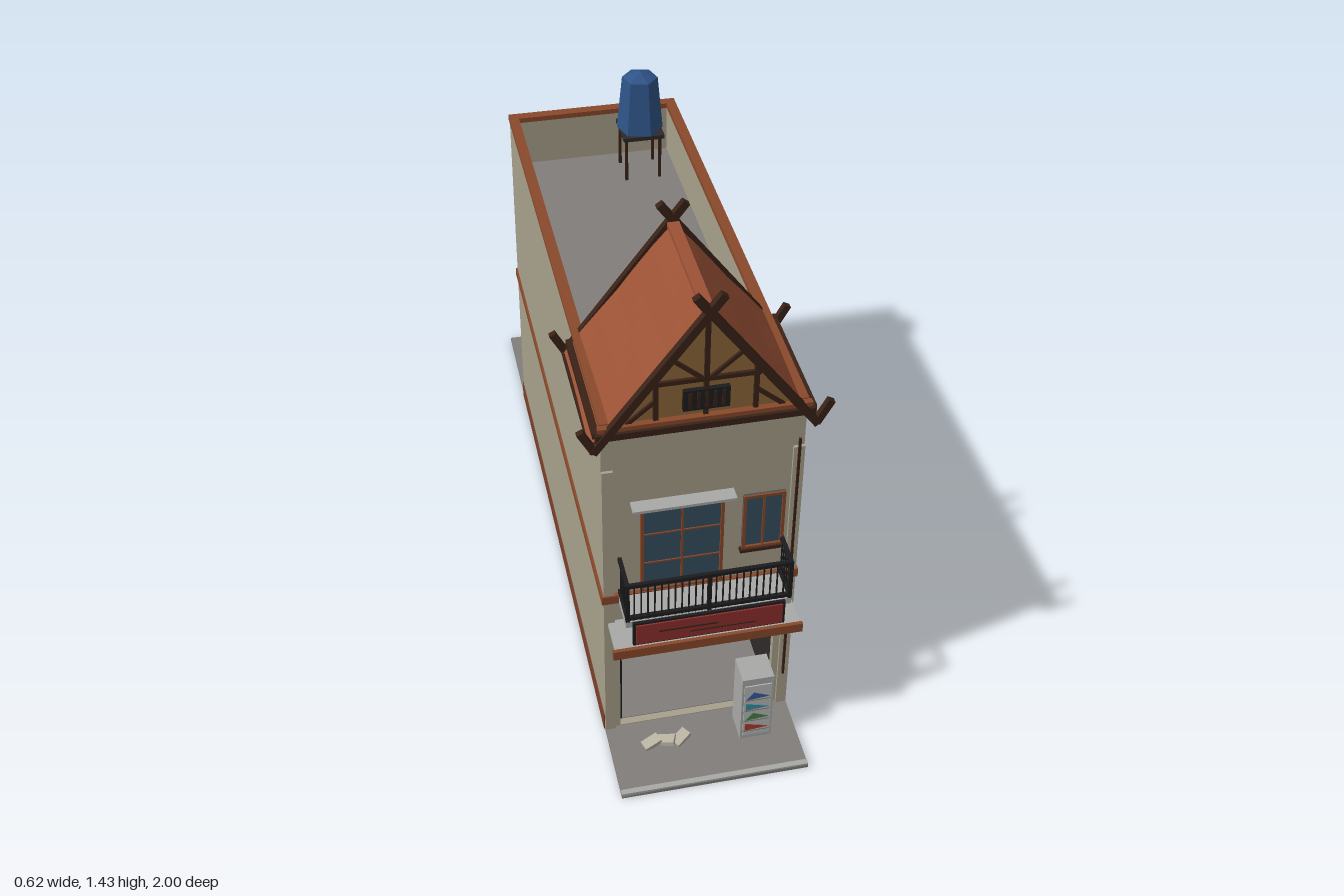
import * as THREE from 'three';

const mats = {};
const mat = (color) => (mats[color] ??= new THREE.MeshStandardMaterial({ color, flatShading: true, side: THREE.DoubleSide }));
const C = { wall: 0xa8a08c, trim: 0x8a4a2c, skirt: 0x7a3f2a, tile: 0x9c5236, wood: 0x3a2218, ochre: 0x8f663a,
  black: 0x1c1c1e, dark: 0x2e2a29, glass: 0x35505f, grey: 0x827e7a, light: 0xa9aaa8, red: 0x8e2f2c, blue: 0x2f5488 };

export function createModel() {
  const root = new THREE.Group();
  let parent = root;

  const group = (name) => {
    parent = new THREE.Group();
    parent.name = name;
    root.add(parent);
  };
  const add = (name, geo, color) => {
    const m = new THREE.Mesh(geo, mat(color));
    m.name = name;
    parent.add(m);
    return m;
  };
  // box from its min and max corners
  const box = (name, color, x0, x1, y0, y1, z0, z1) => {
    const m = add(name, new THREE.BoxGeometry(x1 - x0, y1 - y0, z1 - z0), color);
    m.position.set((x0 + x1) / 2, (y0 + y1) / 2, (z0 + z1) / 2);
    return m;
  };
  // square beam between two points
  const beam = (name, color, a, b, w, d = w) => {
    const p = new THREE.Vector3(...a), q = new THREE.Vector3(...b);
    const m = add(name, new THREE.BoxGeometry(w, d, p.distanceTo(q)), color);
    m.position.copy(p).lerp(q, 0.5);
    m.lookAt(q);
    return m;
  };
  const extrude = (name, color, points, depth, z, holes = []) => {
    const s = new THREE.Shape(points.map((p) => new THREE.Vector2(...p)));
    holes.forEach((h) => s.holes.push(new THREE.Path(h.map((p) => new THREE.Vector2(...p)))));
    const m = add(name, new THREE.ExtrudeGeometry(s, { depth, bevelEnabled: false }), color);
    m.position.z = z;
    return m;
  };
  const rect = (x0, x1, y0, y1) => [[x0, y0], [x1, y0], [x1, y1], [x0, y1]];
  // framed window on a z-facing wall; s is the facing direction
  const windowUnit = (name, x0, x1, y0, y1, z, s, cols, rows, frame) => {
    const t = 0.008, zs = (a, b) => [Math.min(z + s * a, z + s * b), Math.max(z + s * a, z + s * b)];
    box(name + 'Glass', C.glass, x0, x1, y0, y1, ...zs(0, 0.004));
    extrude(name + 'Frame', frame, rect(x0, x1, y0, y1), 0.01, zs(0, 0.01)[0], [rect(x0 + t, x1 - t, y0 + t, y1 - t)]);
    for (let i = 1; i < cols; i++) {
      const x = x0 + ((x1 - x0) * i) / cols;
      box(name + 'Mullion', frame, x - 0.003, x + 0.003, y0, y1, ...zs(0, 0.008));
    }
    for (let i = 1; i < rows; i++) {
      const y = y0 + ((y1 - y0) * i) / rows;
      box(name + 'Bar', frame, x0, x1, y - 0.002, y + 0.002, ...zs(0, 0.007));
    }
  };

  group('ground');
  box('pavement', C.grey, -0.25, 0.25, 0, 0.01, -1, 1);
  box('frontKerb', C.light, -0.25, 0.25, 0, 0.016, 0.985, 1);

  group('building');
  for (const s of [-1, 1]) {
    box('sideWall', C.wall, ...(s < 0 ? [-0.25, -0.225] : [0.225, 0.25]), 0.01, 1.062, -0.69, 0.77);
    box('sideSkirting', C.skirt, s * 0.2505 - 0.002, s * 0.2505 + 0.002, 0, 0.055, -0.692, 0.765);
    box('sideBand', C.trim, s * 0.251 - 0.004, s * 0.251 + 0.004, 0.492, 0.518, -0.695, 0.775);
    box('sideCoping', C.trim, s * 0.239 - 0.014, s * 0.239 + 0.014, 1.06, 1.075, -0.695, 0.77);
    box('pilaster', C.wall, s * 0.236 - 0.014, s * 0.236 + 0.014, 0.01, 0.93, 0.77, 0.778);
  }
  box('backWall', C.wall, -0.225, 0.225, 0.01, 1.062, -0.69, -0.665);
  box('backSkirting', C.skirt, -0.25, 0.25, 0, 0.055, -0.693, -0.688);
  box('backBand', C.trim, -0.25, 0.25, 0.492, 0.518, -0.695, -0.687);
  box('backCoping', C.trim, -0.25, 0.25, 1.06, 1.075, -0.695, -0.665);
  box('roofDeck', C.grey, -0.225, 0.225, 0.9, 0.92, -0.665, 0.75);
  extrude('frontWall', C.wall, rect(-0.225, 0.225, 0.01, 1.062), 0.02, 0.75, [rect(-0.208, 0.205, 0.012, 0.39)]);
  box('frontBand', C.trim, -0.255, 0.255, 0.492, 0.518, 0.768, 0.782);
  windowUnit('backWindow', -0.082, 0.082, 0.625, 0.77, -0.69, -1, 3, 2, C.black);
  box('backSill', C.wood, -0.09, 0.09, 0.61, 0.623, -0.708, -0.69);
  box('drainPipe', C.wood, 0.232, 0.238, 0.13, 0.96, 0.778, 0.784);

  group('shop');
  box('interiorBack', C.dark, -0.225, 0.225, 0.01, 0.4, 0.44, 0.45);
  box('interiorCeiling', C.dark, -0.225, 0.225, 0.39, 0.4, 0.45, 0.75);
  box('interiorFloor', C.grey, -0.225, 0.225, 0.01, 0.014, 0.45, 0.75);
  box('interiorSkirting', C.skirt, -0.21, 0.21, 0.012, 0.06, 0.45, 0.46);
  for (const s of [-1, 1]) box('interiorSide', C.dark, s * 0.215 - 0.005, s * 0.215 + 0.005, 0.01, 0.39, 0.45, 0.75);
  box('lightTube', C.black, -0.2, 0.06, 0.348, 0.354, 0.6, 0.61);
  // folded sliding gate along the inner left wall
  for (let i = 0; i < 13; i++) box('gateBar', C.black, -0.207, -0.2, 0.015, 0.385, 0.47 + i * 0.023, 0.476 + i * 0.023);
  // shelves and goods
  const tints = { b: 0x3b5c9a, y: 0xc9a13a, g: 0x4a8048, r: 0xa83a2e, w: 0xd2cfc6, o: 0xc8742c };
  const rows = [
    [0.285, 'b-.165 y-.08 g-.045 r0 w.08 b.12 o.16'],
    [0.2, 'b-.165 y-.125 w-.04 w0 b.04 o.08 y.14'],
    [0.12, 'r-.165 w-.12 w-.085 o0 o.04 g.08 r.13'],
  ];
  for (const [y, goods] of rows) {
    box('shelf', C.trim, -0.18, 0.18, y - 0.005, y, 0.45, 0.52);
    for (const item of goods.split(' ')) {
      const pack = add('goods', new THREE.CylinderGeometry(0.01, 0.014, 0.034, 6), tints[item[0]]);
      pack.position.set(+item.slice(1), y + 0.018, 0.495);
    }
  }
  // drinks fridge
  group('fridge');
  box('fridgeBody', C.light, 0.095, 0.18, 0.01, 0.238, 0.8, 0.88);
  box('fridgeDoor', 0xb9bdbd, 0.101, 0.174, 0.025, 0.215, 0.88, 0.883);
  [[0.045, tints.r], [0.085, tints.g], [0.125, 0x3c8fa0], [0.165, tints.b]].forEach(([y, c], i) => {
    box('fridgeShelf', C.grey, 0.103, 0.172, y - 0.004, y - 0.001, 0.883, 0.885);
    extrude('fridgeGoods', c, [[0.106, y], [0.168, y + 0.006], [0.106 + 0.02 * (i % 2), y + 0.026]], 0.002, 0.883);
  });
  // papers and sandals on the pavement
  group('doorstepItems');
  [[-0.14, 0.3], [-0.1, -0.4], [-0.06, 0.6]].forEach(([x, turn]) => {
    const m = box('doorstepItem', 0xb8b2a2, x - 0.024, x + 0.024, 0.011, 0.024, 0.835, 0.865);
    m.rotation.set(0, turn, 0.25);
  });

  group('canopyAndSign');
  box('canopy', C.light, -0.24, 0.24, 0.41, 0.42, 0.77, 0.88);
  box('canopyFascia', C.trim, -0.247, 0.243, 0.402, 0.43, 0.878, 0.888);
  box('signFrame', C.black, -0.195, 0.195, 0.437, 0.513, 0.872, 0.88);
  box('signPanel', C.red, -0.188, 0.188, 0.443, 0.507, 0.88, 0.884);
  box('signStripe', C.wood, -0.13, 0.02, 0.478, 0.482, 0.884, 0.886);
  box('signStripe', C.wood, -0.05, 0.12, 0.462, 0.465, 0.884, 0.886);

  group('balcony');
  box('balconySlab', C.light, -0.212, 0.212, 0.495, 0.515, 0.77, 0.872);
  for (const y of [0.525, 0.635]) {
    box('frontRail', C.black, -0.212, 0.212, y - 0.005, y + 0.005, 0.863, 0.873);
    for (const s of [-1, 1]) box('sideRail', C.black, s * 0.207 - 0.005, s * 0.207 + 0.005, y - 0.005, y + 0.005, 0.77, 0.87);
  }
  for (let i = 0; i <= 24; i++) {
    const x = -0.207 + (i * 0.414) / 24, w = i % 12 ? 0.0018 : 0.005;
    box('baluster', C.black, x - w, x + w, 0.515, 0.64, 0.868 - w, 0.868 + w);
  }
  for (const s of [-1, 1]) for (let i = 1; i < 6; i++) beam('sideBaluster', C.black, [s * 0.207, 0.515, 0.77 + i * 0.016], [s * 0.207, 0.64, 0.77 + i * 0.016], 0.0035);
  windowUnit('balconyDoor', -0.155, 0.055, 0.516, 0.805, 0.77, 1, 2, 3, C.trim);
  windowUnit('smallWindow', 0.103, 0.21, 0.615, 0.792, 0.77, 1, 2, 1, C.trim);
  box('windowSill', C.wood, 0.098, 0.215, 0.607, 0.616, 0.77, 0.785);
  box('doorHood', C.light, -0.18, 0.078, 0.812, 0.82, 0.77, 0.808);

  group('gableRoof');
  const peak = 1.362, eave = 1.015, half = 0.272;
  for (const s of [-1, 1]) {
    // gently uneven tiled slope
    const geo = new THREE.BoxGeometry(Math.hypot(half, peak - eave), 0.012, 0.38, 6, 1, 8);
    const p = geo.attributes.position;
    for (let i = 0; i < p.count; i++) p.setY(i, p.getY(i) + 0.002 * Math.sin(p.getX(i) * 60 + p.getZ(i) * 9));
    geo.computeVertexNormals();
    const slope = add('tileSlope', geo, C.tile);
    slope.position.set((s * half) / 2, (peak + eave) / 2, 0.595);
    slope.rotation.z = -s * Math.atan2(peak - eave, half);
    for (const z of [0.402, 0.788]) {
      beam('bargeBoard', C.wood, [s * 0.272, 1.01, z], [-s * 0.033, 1.42, z], 0.018, 0.02);
      beam('eaveHorn', C.wood, [s * 0.268, 1.012, z], [s * 0.302, 1.075, z], 0.016, 0.018);
    }
    beam('gutter', C.wood, [s * 0.262, 1.05, 0.41], [s * 0.262, 1.05, 0.78], 0.016);
    box('eaveBeam', C.wood, s * 0.272 - 0.007, s * 0.272 + 0.007, 1.005, 1.02, 0.4, 0.79);
    for (let i = 0; i < 8; i++) beam('rafterTail', C.wood, [s * 0.245, 1.03, 0.43 + i * 0.046], [s * 0.272, 1.012, 0.43 + i * 0.046], 0.008);
  }
  beam('ridgeCap', C.tile, [0, 1.366, 0.405], [0, 1.366, 0.785], 0.03, 0.012);
  const tri = [[-0.24, 1.04], [0.24, 1.04], [0, 1.352]];
  extrude('frontGable', C.ochre, tri, 0.012, 0.76);
  extrude('backGable', C.ochre, tri, 0.012, 0.41);
  box('backTieBeam', C.wood, -0.255, 0.255, 1.035, 1.055, 0.4, 0.412);
  box('tieBeam', C.wood, -0.265, 0.265, 1.04, 1.058, 0.772, 0.792);
  box('tieBoard', C.trim, -0.258, 0.258, 1.062, 1.074, 0.772, 0.788);
  // half timbering
  const zt = 0.774;
  beam('kingPost', C.wood, [0, 1.06, zt], [0, 1.35, zt], 0.012);
  beam('collarBeam', C.wood, [-0.13, 1.178, zt], [0.13, 1.178, zt], 0.012);
  for (const s of [-1, 1]) {
    beam('gablePost', C.wood, [s * 0.12, 1.06, zt], [s * 0.12, 1.195, zt], 0.012);
    beam('brace', C.wood, [s * 0.01, 1.18, zt], [s * 0.085, 1.245, zt], 0.01);
    beam('lowerBrace', C.wood, [s * 0.12, 1.13, zt], [s * 0.19, 1.07, zt], 0.01);
  }
  box('ventPanel', C.black, -0.056, 0.056, 1.093, 1.152, 0.772, 0.784);
  for (let i = 0; i < 5; i++) box('ventSlat', C.wood, -0.044 + i * 0.02, -0.036 + i * 0.02, 1.1, 1.145, 0.784, 0.787);

  group('waterTank');
  for (const x of [0.07, 0.17]) for (const z of [-0.61, -0.51]) beam('standLeg', C.wood, [x, 0.92, z], [x, 1.06, z], 0.008);
  box('standTop', C.dark, 0.06, 0.182, 1.055, 1.067, -0.62, -0.498);
  const tank = add('tankBody', new THREE.CylinderGeometry(0.052, 0.068, 0.165, 6), C.blue);
  tank.position.set(0.12, 1.15, -0.56);
  tank.rotation.y = 0.3;
  const lid = add('tankLid', new THREE.ConeGeometry(0.052, 0.02, 6), C.blue);
  lid.position.set(0.12, 1.242, -0.56);
  lid.rotation.y = 0.3;

  group('bunting');
  for (const s of [-1, 1]) beam('pole', C.grey, [s * 0.2, 0.01, -0.9], [s * 0.2, 0.2, -0.9], 0.003);
  beam('string', C.grey, [-0.2, 0.2, -0.9], [0.2, 0.2, -0.9], 0.002);
  for (const [x, c] of [[0.125, 0x9a9a90], [-0.04, 0x9a5a70], [-0.115, C.blue]])
    extrude('flag', c, [[x - 0.02, 0.2], [x, 0.15], [x + 0.02, 0.2]], 0.001, -0.9005);

  return root;
}
